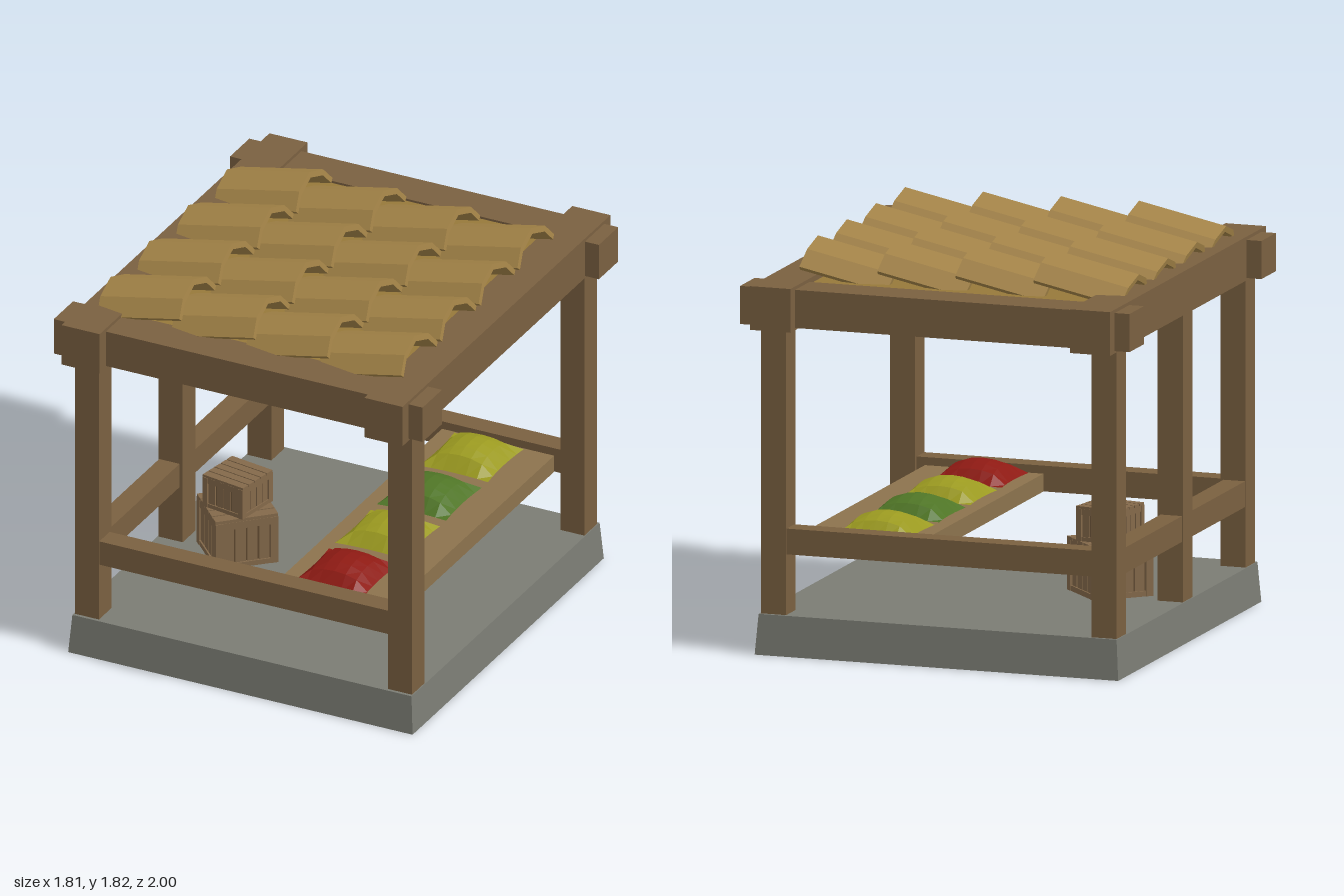
import * as THREE from 'three';

const mat = (color) => new THREE.MeshStandardMaterial({ color, flatShading: true });
const wood = mat(0x7a6040), plank = mat(0x8c734d), tileMat = mat(0xa38347), stone = mat(0x7b7c74);
const panelMat = mat(0x97793a), crateMat = mat(0x84694a), crateDark = mat(0x5e482f);
const red = mat(0x8e1a13), yellow = mat(0x9b9a20), green = mat(0x4f7526);

function add(parent, name, geometry, material) {
  const mesh = new THREE.Mesh(geometry, material);
  mesh.name = name;
  parent.add(mesh);
  return mesh;
}

// Box given by its lower and upper bounds on each axis
function box(parent, name, [x0, x1], [y0, y1], [z0, z1], material = wood) {
  const mesh = add(parent, name, new THREE.BoxGeometry(x1 - x0, y1 - y0, z1 - z0), material);
  mesh.position.set((x0 + x1) / 2, (y0 + y1) / 2, (z0 + z1) / 2);
  return mesh;
}

// Slab that narrows slightly toward the top
function baseGeometry() {
  const g = new THREE.BoxGeometry(1.69, 0.18, 1.84).translate(0, 0.09, 0);
  const p = g.attributes.position;
  for (let i = 0; i < p.count; i++) {
    if (p.getY(i) > 0.1) p.setXYZ(i, Math.sign(p.getX(i)) * 0.832, 0.18, Math.sign(p.getZ(i)) * 0.905);
  }
  g.computeVertexNormals();
  return g;
}

// Faceted arched tile, its low end at the origin, rising toward +x
function tileGeometry() {
  const outer = [[-0.177, -0.11], [-0.115, -0.04], [0, 0], [0.115, -0.04], [0.177, -0.11]];
  const inner = [[0.159, -0.127], [0.104, -0.064], [0, -0.027], [-0.104, -0.064], [-0.159, -0.127]];
  const shape = new THREE.Shape([...outer, ...inner].map(([x, y]) => new THREE.Vector2(x, y)));
  return new THREE.ExtrudeGeometry(shape, { depth: 0.414, bevelEnabled: false })
    .rotateY(Math.PI / 2).rotateZ(0.207);
}

// Plump pillow with pinched edges
function sackGeometry() {
  const g = new THREE.PlaneGeometry(2, 2, 6, 6).rotateX(-Math.PI / 2);
  const p = g.attributes.position;
  for (let i = 0; i < p.count; i++) {
    const u = p.getX(i), v = p.getZ(i);
    const a = 1 - u * u, b = 1 - v * v;
    const h = 0.085 * Math.pow(Math.max(0, a * b), 0.55);
    p.setXYZ(i, u * 0.17 * (1 - 0.06 * b), h, v * 0.172 * (1 - 0.06 * a));
  }
  g.computeVertexNormals();
  return g;
}

// Crate with corner posts, rims, side slats and lid boards
function crate(name, size, height) {
  const g = new THREE.Group();
  g.name = name;
  const s = size / 2, t = size * 0.12, d = size * 0.05;
  box(g, 'crateCore', [-s + d, s - d], [0.005, height - d], [-s + d, s - d], crateDark);
  for (let k = 0; k < 4; k++) {
    const side = new THREE.Group();
    side.name = 'crateSide';
    side.rotation.y = k * Math.PI / 2;
    box(side, 'cornerPost', [s - t, s], [0, height - d], [s - t, s], crateMat);
    box(side, 'bottomRim', [-s + t, s - t], [0, t * 0.7], [s - d * 1.5, s - 0.002], crateMat);
    box(side, 'topRim', [-s + t, s - t], [height - d - t, height - d], [s - d * 1.5, s - 0.002], crateMat);
    const w = (size - 2 * t) / 4;
    for (let i = 0; i < 4; i++) {
      const x = -s + t + i * w;
      box(side, 'sideSlat', [x + w * 0.07, x + w * 0.93], [t * 0.7, height - d - t], [s - d * 1.4, s - d * 0.6], crateMat);
    }
    g.add(side);
  }
  const w = size / 5;
  for (let i = 0; i < 5; i++) {
    const z = -s + i * w;
    box(g, 'lidBoard', [-s, s], [height - d, height], [z + w * 0.06, z + w * 0.94], crateMat);
  }
  return g;
}

export function createModel() {
  const model = new THREE.Group();
  model.name = 'marketStall';

  add(model, 'stoneBase', baseGeometry(), stone);

  // Corner posts, roof beams and end rails
  for (const sx of [-1, 1]) {
    for (const sz of [-1, 1]) {
      const post = add(model, 'cornerPost', new THREE.BoxGeometry(0.118, 1.3, 0.122), wood);
      post.position.set(sx * 0.768, 0.83, sz * 0.829);
    }
    const sideBeam = add(model, 'sideBeam', new THREE.BoxGeometry(0.187, 0.195, 2), wood);
    sideBeam.position.set(sx * 0.743, 1.5625, 0);
  }
  for (const sz of [-1, 1]) {
    const beam = add(model, 'crossBeam', new THREE.BoxGeometry(1.81, 0.17, 0.186), wood);
    beam.position.set(0, 1.56, sz * 0.848);
    const rail = add(model, 'endRail', new THREE.BoxGeometry(1.42, 0.115, 0.1), wood);
    rail.position.set(0, 0.508, sz * 0.837);
  }

  // Middle post and rails on the closed side
  box(model, 'middlePost', [-0.827, -0.709], [0.18, 1.47], [-0.04, 0.085]);
  box(model, 'sideRail', [-0.824, -0.724], [0.45, 0.565], [0.085, 0.77]);
  box(model, 'sideRail', [-0.824, -0.724], [0.45, 0.565], [-0.77, -0.04]);

  // Roof board with overlapping tiles
  box(model, 'roofBoard', [-0.655, 0.655], [1.605, 1.635], [-0.76, 0.76], panelMat);
  const tile = tileGeometry();
  for (const z of [0.62, 0.247, -0.127, -0.5]) {
    for (let i = 0; i < 4; i++) {
      add(model, 'roofTile', tile, tileMat).position.set(-0.79 + i * 0.3625, 1.73 - i * 0.005, z);
    }
  }

  // Display shelf with sacks
  box(model, 'shelf', [0.12, 0.67], [0.45, 0.53], [-0.785, 0.785], plank);
  const sack = sackGeometry();
  [red, yellow, green, yellow].forEach((m, i) => {
    add(model, 'sack', sack, m).position.set(0.355, 0.531, 0.602 - i * 0.402);
  });

  // Stacked crates
  const lower = crate('lowerCrate', 0.286, 0.24);
  lower.position.set(-0.455, 0.18, 0.055);
  lower.rotation.y = 0.77;
  const upper = crate('upperCrate', 0.22, 0.155);
  upper.position.set(-0.455, 0.42, 0.055);
  upper.rotation.y = -0.17;
  model.add(lower, upper);

  return model;
}
